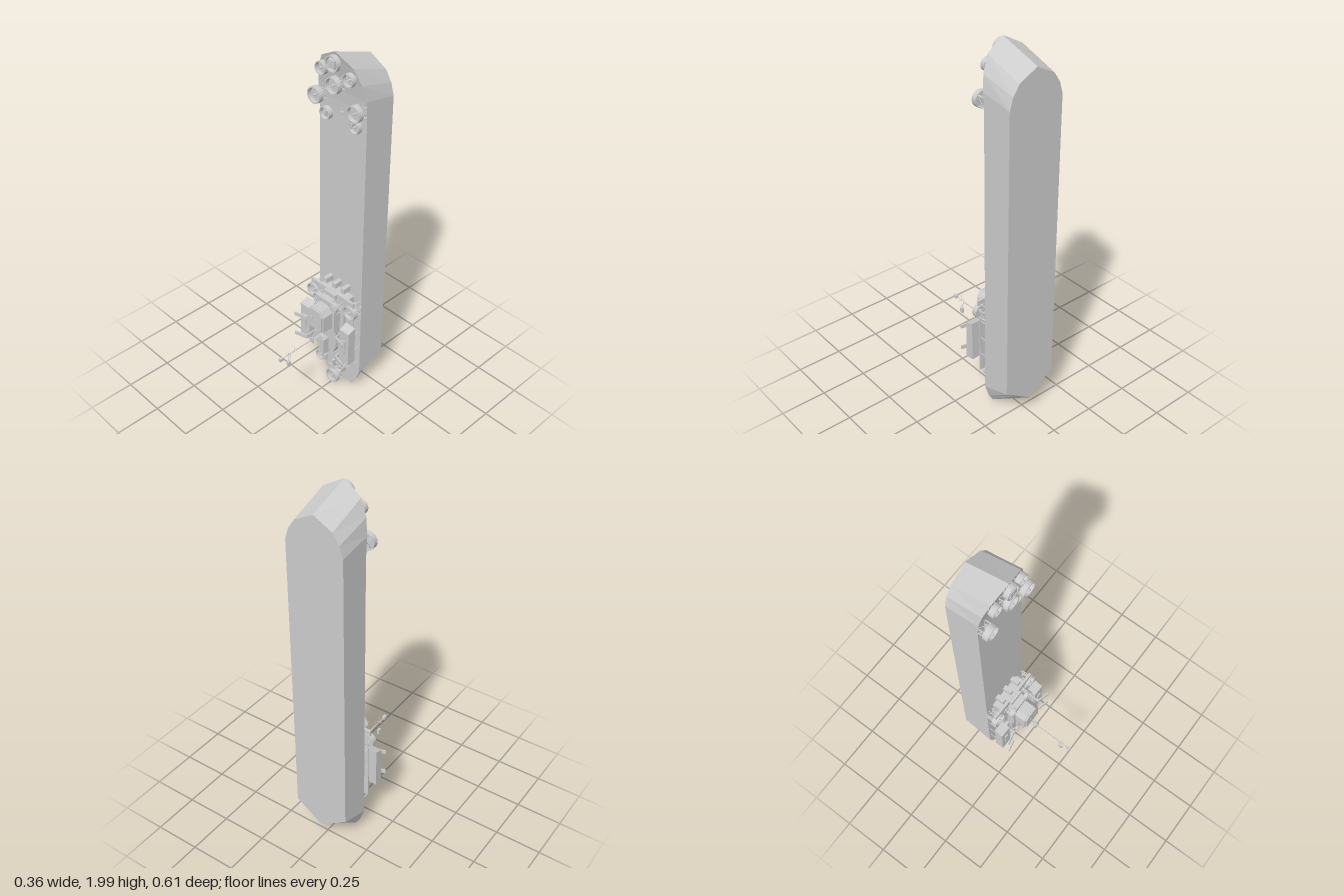
import * as THREE from 'three';

const mat = new THREE.MeshStandardMaterial({ color: 0xcccccc, flatShading: true, side: THREE.DoubleSide });
const DECK = -0.134, KEEL = -0.304;
// deck rises towards the bow
const deckZ = y => DECK + 0.057 * Math.max(0, (y - 1.66) / 0.34) ** 2;

export function createModel() {
  const ship = new THREE.Group();
  ship.name = 'ship';

  const add = (name, geo, parent = ship) => {
    const m = new THREE.Mesh(geo, mat);
    m.name = name;
    parent.add(m);
    return m;
  };
  const box = (name, x0, x1, y0, y1, z0, z1) =>
    add(name, new THREE.BoxGeometry(x1 - x0, y1 - y0, z1 - z0)
      .translate((x0 + x1) / 2, (y0 + y1) / 2, (z0 + z1) / 2));
  const rod = (name, a, b, r, sides = 6, r2 = r) => {
    const p = new THREE.Vector3(...a), q = new THREE.Vector3(...b);
    const m = add(name, new THREE.CylinderGeometry(r2, r, p.distanceTo(q), sides));
    m.position.copy(p).add(q).multiplyScalar(0.5);
    m.quaternion.setFromUnitVectors(new THREE.Vector3(0, 1, 0), q.sub(p).normalize());
    return m;
  };
  // outline in x, y pushed from z0 to z1
  const slab = (name, pts, z0, z1) =>
    add(name, new THREE.ExtrudeGeometry(new THREE.Shape(pts.map(p => new THREE.Vector2(...p))),
      { depth: z1 - z0, bevelEnabled: false }).translate(0, 0, z0));

  // hull: half outlines of keel and deck, from stern to bow
  const keel = [[0, 0.095], [0.07, 0.143], [0.11, 0.171], [0.153, 0.2], [0.153, 1.66], [0.153, 1.73],
    [0.153, 1.76], [0.135, 1.82], [0.1, 1.872], [0, 1.925]];
  const rim = [[0, 0.022], [0.1, 0.022], [0.13, 0.07], [0.153, 0.14], [0.153, 1.66], [0.153, 1.73],
    [0.153, 1.79], [0.138, 1.87], [0.1, 1.945], [0, 2]];
  const n = keel.length, pos = [];
  const B = (i, s) => [s * keel[i][0], keel[i][1], KEEL];
  const D = (i, s) => [s * rim[i][0], rim[i][1], deckZ(rim[i][1])];
  const quad = (a, b, c, d) => pos.push(...a, ...b, ...c, ...a, ...c, ...d);
  for (let i = 0; i < n - 1; i++) {
    quad(B(i, 1), B(i + 1, 1), D(i + 1, 1), D(i, 1));
    quad(B(i + 1, -1), B(i, -1), D(i, -1), D(i + 1, -1));
    quad(D(i, 1), D(i + 1, 1), D(i + 1, -1), D(i, -1));
    quad(B(i, -1), B(i + 1, -1), B(i + 1, 1), B(i, 1));
  }
  const hull = new THREE.BufferGeometry();
  hull.setAttribute('position', new THREE.Float32BufferAttribute(pos, 3));
  hull.computeVertexNormals();
  add('hull', hull);

  // round gun tubs on braced legs: x, y, radius, floor z, top z
  const tub = (x, y, r, z0, z1) => {
    const prof = [[0, 0], [r, 0], [r, z1 - z0], [r * 0.86, z1 - z0], [r * 0.86, 0.006], [0, 0.006]];
    const t = add('gunTub', new THREE.LatheGeometry(prof.map(p => new THREE.Vector2(...p)), 20));
    t.rotation.x = Math.PI / 2;
    t.position.set(x, y, z0);
    rod('tubPost', [x, y, z0], [x, y, z1 + 0.002], 0.006);
    const base = deckZ(y);
    if (z0 - base < 0.012) return;
    const k = Math.min(r * 0.6, 0.153 - Math.abs(x) + 0.002);
    const c = [[k, k], [-k, k], [-k, -k], [k, -k]].map(([a, b]) => [x + a, y + b]);
    c.forEach((p, i) => {
      const q = c[(i + 1) % 4];
      rod('tubLeg', [...p, base], [...p, z0], 0.003, 4);
      rod('tubBrace', [...p, base], [...q, z0], 0.0015, 4);
      rod('tubBrace', [...q, base], [...p, z0], 0.0015, 4);
    });
  };
  tub(0, 1.945, 0.04, -0.079, -0.055);
  tub(0, 1.837, 0.042, -0.085, -0.058);
  tub(0, 0.048, 0.042, -0.098, -0.073);
  for (const s of [-1, 1]) {
    tub(s * 0.087, 1.89, 0.033, -0.095, -0.07);
    tub(s * 0.127, 1.74, 0.042, -0.095, -0.068);
    tub(s * 0.095, 1.645, 0.033, -0.132, -0.106);
    tub(s * 0.133, 0.59, 0.042, -0.09, -0.06);
    tub(s * 0.07, 0.172, 0.032, -0.085, -0.052);
    tub(s * 0.057, 0.605, 0.03, -0.04, -0.018);
    box('deckFitting', s * 0.083 - 0.005, s * 0.083 + 0.005, 1.64, 1.665, -0.136, -0.1);
  }
  box('bowGunMount', -0.02, 0.02, 1.925, 1.965, -0.075, -0.054);
  box('hatch', -0.012, 0.012, 1.672, 1.684, -0.14, -0.126);

  // stern superstructure in tiers
  slab('deckHouse', [[-0.1, 0.19], [-0.045, 0.19], [-0.045, 0.1], [0.045, 0.1], [0.045, 0.19], [0.1, 0.19],
    [0.1, 0.61], [-0.1, 0.61]], DECK - 0.002, -0.09);
  slab('boatDeck', [[-0.07, 0.15], [0.07, 0.15], [0.093, 0.21], [0.093, 0.6], [-0.093, 0.6], [-0.093, 0.21]],
    -0.09, -0.068);
  box('frontGallery', -0.153, 0.153, 0.61, 0.657, -0.085, -0.072);
  box('frontGalleryWall', -0.1, 0.1, 0.6, 0.645, DECK, -0.072);
  box('galleryRail', -0.04, 0.04, 0.62, 0.655, -0.072, -0.055);
  slab('upperHouse', [[-0.045, 0.28], [0.045, 0.28], [0.065, 0.32], [0.065, 0.55], [0.04, 0.63], [-0.04, 0.63],
    [-0.065, 0.55], [-0.065, 0.32]], -0.068, -0.038);
  slab('bridgeDeck', [[-0.07, 0.44], [0.07, 0.44], [0.07, 0.59], [0.045, 0.63], [-0.045, 0.63], [-0.07, 0.59]],
    -0.038, -0.02);
  slab('bridge', [[-0.057, 0.47], [0.057, 0.47], [0.057, 0.57], [0.032, 0.603], [-0.032, 0.603], [-0.057, 0.57]],
    -0.02, 0.042);
  slab('bridgeRoof', [[-0.05, 0.475], [0.05, 0.475], [0.05, 0.57], [0.03, 0.6], [-0.03, 0.6], [-0.05, 0.57]],
    0.042, 0.052);
  for (const x of [-0.02, 0.02]) box('roofVent', x - 0.004, x + 0.004, 0.53, 0.55, 0.05, 0.055);
  for (const x of [-0.063, 0, 0.063]) box('deckLocker', x - 0.012, x + 0.012, 0.67, 0.7, DECK - 0.002, -0.085);

  // funnel and after fittings
  box('funnel', -0.014, 0.014, 0.265, 0.365, -0.045, 0.0);
  box('funnelSide', -0.03, -0.014, 0.3, 0.36, -0.045, -0.02);
  box('winch', -0.022, 0.022, 0.11, 0.13, -0.09, -0.075);
  for (const s of [-1, 1]) {
    box('ventilator', s * 0.03 - 0.006, s * 0.03 + 0.006, 0.165, 0.2, -0.07, -0.05);
    box('sideLocker', s * 0.085 - 0.012, s * 0.085 + 0.012, 0.3, 0.43, -0.068, -0.05);
    // gallery posts along the house side
    for (let y = 0.22; y < 0.66; y += 0.104)
      rod('sidePost', [s * 0.14, y, DECK], [s * 0.14, y, -0.085], 0.0025, 4);
    box('sideGallery', s * 0.12 - 0.027, s * 0.12 + 0.027, 0.22, 0.6, -0.088, -0.082);
  }

  // lifeboats and their davits
  for (const s of [-1, 1]) {
    const boat = new THREE.BoxGeometry(0.066, 0.25, 0.048, 2, 6, 1);
    const p = boat.attributes.position;
    for (let i = 0; i < p.count; i++) {
      const end = Math.abs(p.getY(i)) > 0.12;
      if (end && p.getZ(i) < 0) p.setY(i, p.getY(i) * 0.9);
      if (end && p.getZ(i) > 0) p.setY(i, p.getY(i) > 0 ? 0.095 : -0.12);
    }
    boat.computeVertexNormals();
    add('lifeboat', boat).position.set(s * 0.147, 0.405, -0.041);
    box('lifeboatHatch', s * 0.147 - 0.012, s * 0.147 + 0.012, 0.36, 0.44, -0.017, -0.01);
    const arm = [[0.114, -0.09], [0.107, -0.06], [0.107, 0.004], [0.114, 0.012], [0.18, 0.029],
      [0.181, 0.022], [0.12, 0.005], [0.114, -0.001], [0.114, -0.055], [0.122, -0.09]];
    for (const y of [0.305, 0.44]) {
      // profile in x, z turned so its thickness runs along y
      const g = new THREE.ExtrudeGeometry(new THREE.Shape(arm.map(([x, z]) => new THREE.Vector2(s * x, z))),
        { depth: 0.022, bevelEnabled: false }).rotateX(Math.PI / 2).scale(1, 1, 1);
      g.translate(0, y + 0.022, 0);
      add('davit', g);
    }
  }

  // mast with stays, yards and lookout
  const my = 0.415, mx = 0.005;
  rod('mast', [mx, my, -0.04], [mx, my, 0.29], 0.004, 8, 0.0025);
  box('mastTop', mx - 0.008, mx + 0.008, my - 0.008, my + 0.008, 0.281, 0.304);
  box('mastPlatform', mx - 0.016, mx + 0.016, my - 0.016, my + 0.016, 0.077, 0.08);
  for (const a of [-1, 1]) {
    rod('mastLeg', [mx + a * 0.035, 0.45, -0.03], [mx + a * 0.006, my, 0.08], 0.003, 5);
    rod('mastLeg', [mx + a * 0.02, 0.38, -0.04], [mx + a * 0.005, my, 0.078], 0.003, 5);
  }
  rod('yard', [mx - 0.016, my, 0.244], [mx + 0.016, my, 0.244], 0.0015, 5);
  rod('aerial', [mx, 0.375, 0.244], [mx, 0.45, 0.244], 0.0012, 4);
  rod('aerial', [mx, my, 0.085], [mx, 0.475, 0.085], 0.0012, 4);
  rod('aerial', [mx, my - 0.012, 0.2], [mx, my + 0.03, 0.2], 0.0012, 4);
  rod('lampBracket', [mx, my, 0.225], [mx + 0.002, 0.355, 0.24], 0.0015, 5);
  box('lamp', mx - 0.006, mx + 0.006, 0.337, 0.365, 0.23, 0.25);
  return ship;
}
